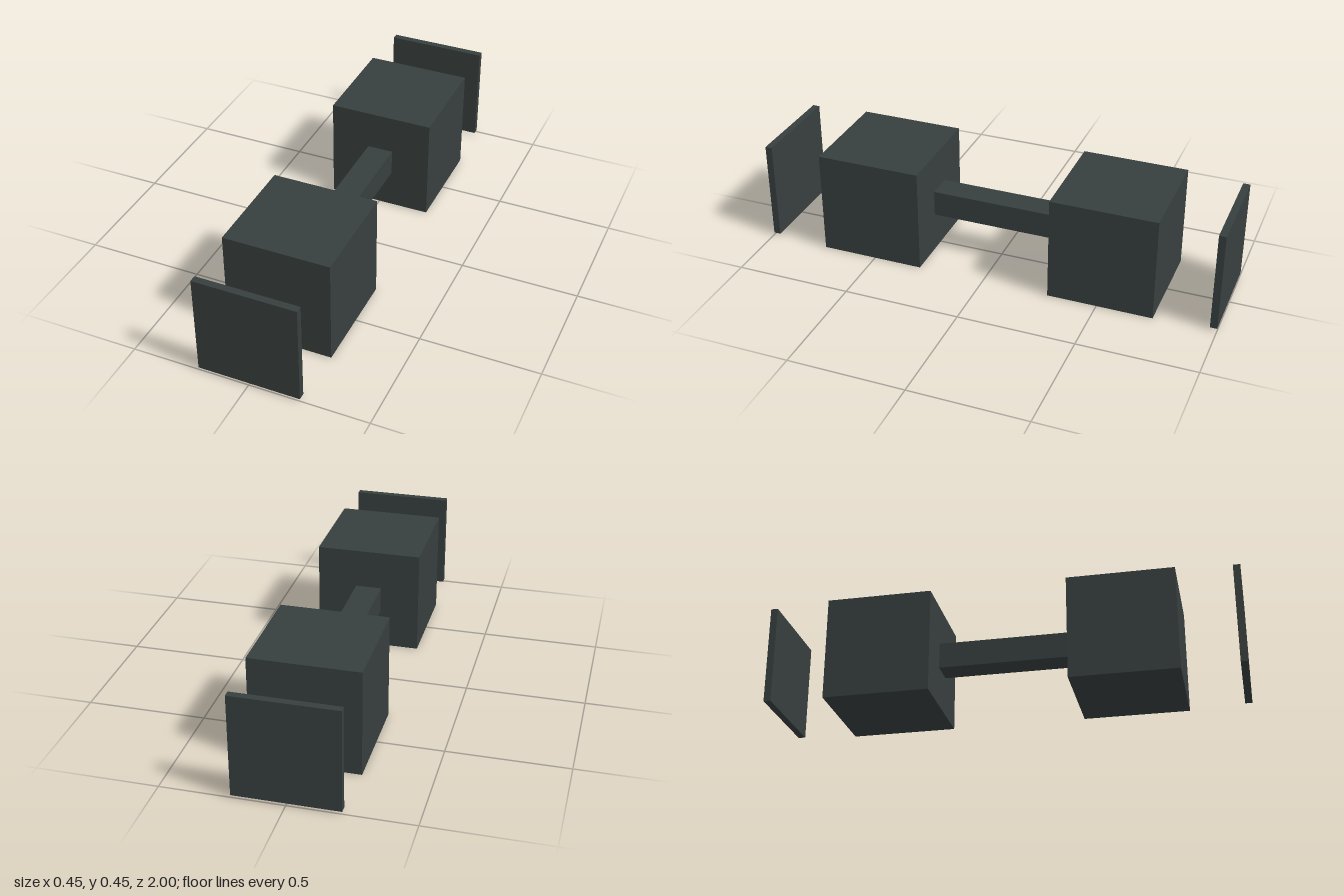
import * as THREE from 'three';

export function createModel() {
  const model = new THREE.Group();
  model.name = 'dumbbellCraft';
  const charcoal = new THREE.MeshStandardMaterial({ color: 0x373f3e });
  charcoal.name = 'charcoal';
  const centreY = 0.225;

  function addBox(name, width, height, depth, z) {
    const mesh = new THREE.Mesh(new THREE.BoxGeometry(width, height, depth), charcoal);
    mesh.name = name;
    mesh.position.set(0, centreY, z);
    model.add(mesh);
  }

  // Square bar joining the two blocks
  addBox('connectingBar', 0.112, 0.112, 0.58, 0);

  // Matching block and free-standing end plate at front and back
  for (const [end, side] of [['front', 1], ['back', -1]]) {
    addBox(end + 'Block', 0.45, 0.45, 0.45, side * 0.513);
    addBox(end + 'Plate', 0.43, 0.43, 0.03, side * 0.985);
  }

  return model;
}
